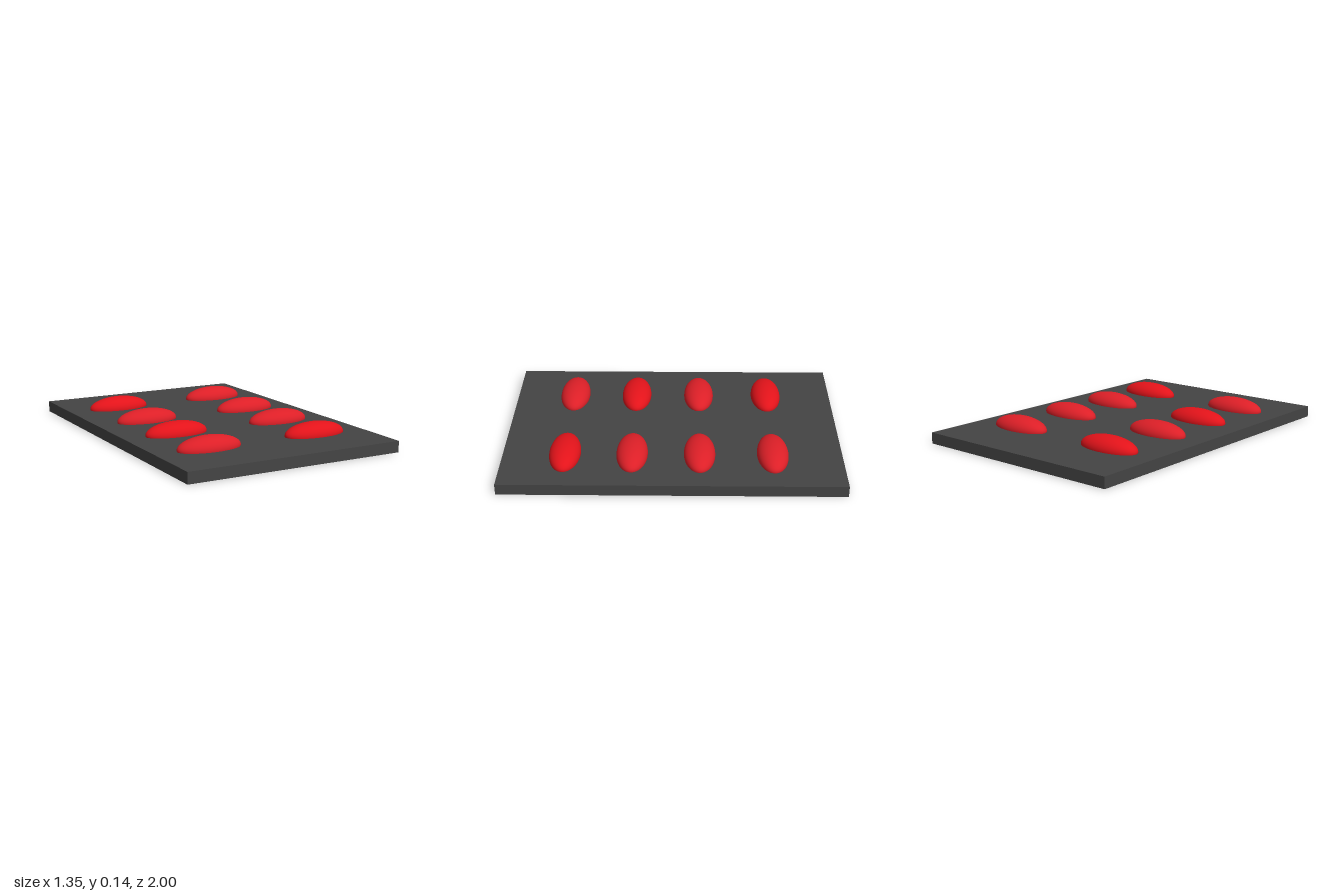
import * as THREE from 'three';

export function createModel() {
  const group = new THREE.Group();
  const boardHeight = 0.067;

  // Flat rectangular board
  const board = new THREE.Mesh(
    new THREE.BoxGeometry(1.35, boardHeight, 2),
    new THREE.MeshStandardMaterial({ color: 0x444444 })
  );
  board.name = 'board';
  board.position.y = boardHeight / 2;
  group.add(board);

  // Ellipsoid domes half sunk into the board, in two shades of red
  const domeGeometry = new THREE.SphereGeometry(1, 48, 32);
  const deepRed = new THREE.MeshStandardMaterial({ color: 0xe3131a });
  const softRed = new THREE.MeshStandardMaterial({ color: 0xdd1f27 });
  const rows = [
    { z: -0.59, right: deepRed, left: softRed },
    { z: -0.16, right: softRed, left: softRed },
    { z: 0.237, right: deepRed, left: softRed },
    { z: 0.632, right: softRed, left: deepRed },
  ];
  rows.forEach((row, i) => {
    for (const side of ['right', 'left']) {
      const dome = new THREE.Mesh(domeGeometry, row[side]);
      dome.name = `${side}Dome${i + 1}`;
      dome.scale.set(0.195, 0.07, 0.0925);
      dome.position.set(side === 'left' ? 0.348 : -0.348, 0.073, row.z);
      group.add(dome);
    }
  });

  return group;
}
